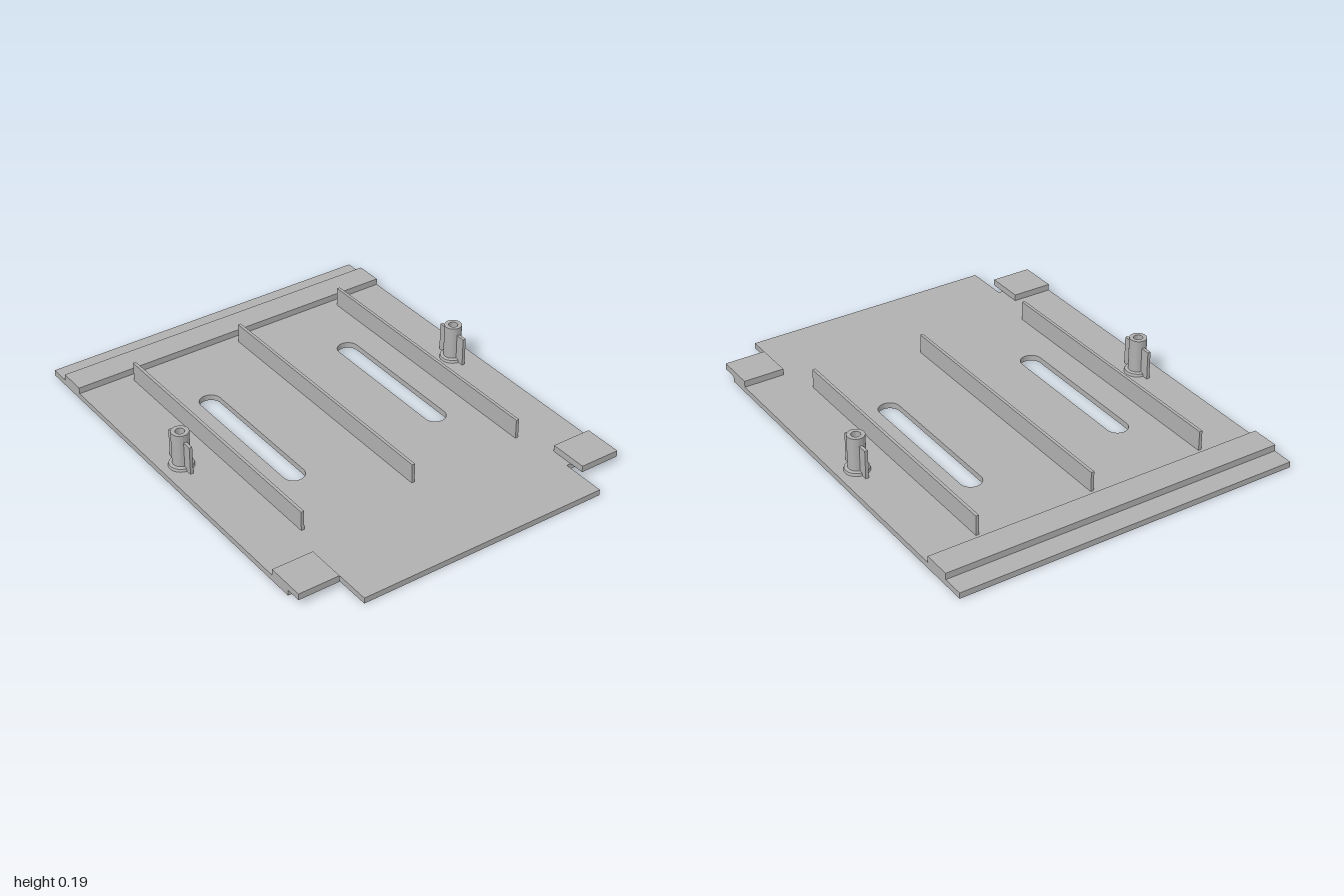
import * as THREE from 'three';
import { toCreasedNormals } from 'three/addons/utils/BufferGeometryUtils.js';

const T = 0.026; // plate thickness

export function createModel() {
  const model = new THREE.Group();
  model.name = 'mountingPlate';
  const grey = new THREE.MeshStandardMaterial({ color: 0xb0b0b0 });
  grey.name = 'plain grey';

  const add = (name, geometry, parent = model) => {
    const mesh = new THREE.Mesh(geometry, grey);
    mesh.name = name;
    parent.add(mesh);
    return mesh;
  };
  // Box given by its minimum and maximum on each axis
  const box = (name, x0, x1, y0, y1, z0, z1, parent) =>
    add(name, new THREE.BoxGeometry(x1 - x0, y1 - y0, z1 - z0), parent)
      .position.set((x0 + x1) / 2, (y0 + y1) / 2, (z0 + z1) / 2);

  // Base plate with two notched corners
  const outline = new THREE.Shape([
    [-1, -0.78], [0.8, -0.78], [0.8, -0.575], [1, -0.575],
    [1, 0.575], [0.8, 0.575], [0.8, 0.78], [-1, 0.78],
  ].map(([x, y]) => new THREE.Vector2(x, y)));

  // Two rounded slots
  const r = 0.048;
  for (const s of [-1, 1]) {
    const slot = new THREE.Path();
    slot.absarc(0.26 - r, s * 0.356, r, -Math.PI / 2, Math.PI / 2, false);
    slot.absarc(-0.46 + r, s * 0.356, r, Math.PI / 2, Math.PI * 1.5, false);
    slot.closePath();
    outline.holes.push(slot);
  }
  const plate = new THREE.ExtrudeGeometry(outline, { depth: T, bevelEnabled: false, curveSegments: 16 });
  plate.rotateX(-Math.PI / 2);
  add('basePlate', toCreasedNormals(plate, 0.6));

  // Raised strip along the right edge
  box('raisedStrip', -0.905, -0.78, T, 0.055, -0.78, 0.78);

  // Three long upright ribs
  for (const z of [-0.532, 0, 0.532]) box('rib', -0.735, 0.535, T, 0.115, z - 0.007, z + 0.007);

  // Hollow post profile: flared foot, wall, rim and blind bore
  const profile = [
    [0.055, T], [0.052, 0.038], [0.038, 0.041], [0.038, 0.19],
    [0.02, 0.19], [0.02, T + 0.002], [0, T + 0.002],
  ].map(([x, y]) => new THREE.Vector2(x, y));
  const postGeometry = toCreasedNormals(new THREE.LatheGeometry(profile, 40), 0.5);

  for (const s of [-1, 1]) {
    // Corner tab overhanging the notch
    box('cornerTab', 0.695, 0.87, T, 0.055, s * 0.6875 - 0.0925, s * 0.6875 + 0.0925);

    // Post with a fin on each side
    const post = new THREE.Group();
    post.name = 'post';
    post.position.set(-0.1, 0, s * 0.69);
    add('postBody', postGeometry, post);
    box('fin', 0.03, 0.08, T, 0.155, -0.007, 0.007, post);
    box('fin', -0.08, -0.03, T, 0.155, -0.007, 0.007, post);
    model.add(post);
  }
  return model;
}
